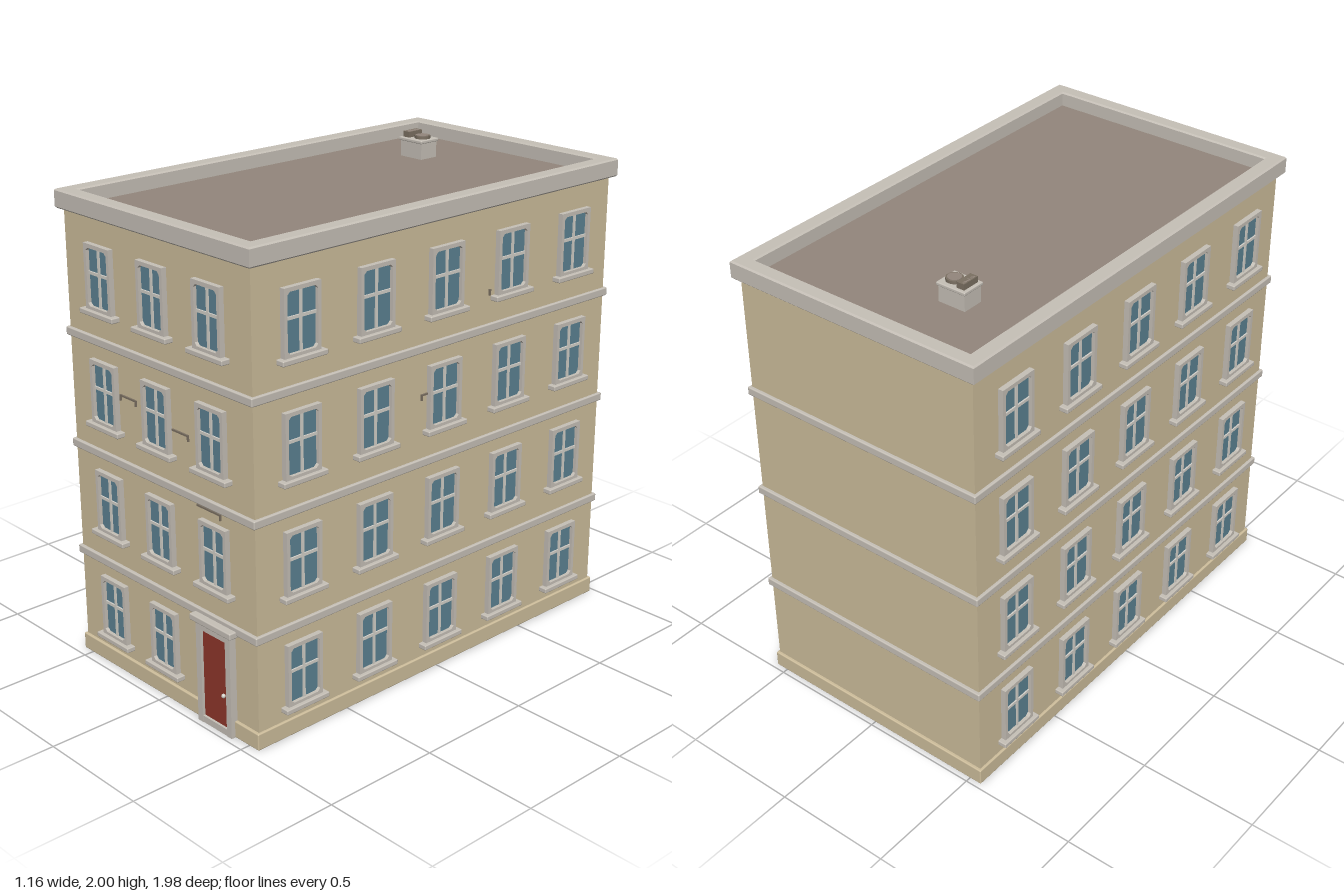
import * as THREE from 'three';
import { RoundedBoxGeometry } from 'three/addons/geometries/RoundedBoxGeometry.js';

const ZC = -0.01;              // centre of the building block in z
const FRONT = 0.947;           // front wall plane
const SIDE = 0.545;            // side wall plane
const FLOOR = 0.4625;          // storey pitch

function material(name, color) {
  const m = new THREE.MeshStandardMaterial({ color });
  m.name = name;
  return m;
}

export function createModel() {
  const plaster = material('plaster', 0xcdbd9b);
  const trim = material('stone trim', 0xc6c0b7);
  const roofing = material('roofing', 0x93867c);
  const glass = material('window glass', 0x5c8292);
  const paint = material('door paint', 0x8f372b);
  const metal = material('dark metal', 0x7b7062);
  const bars = material('window bars', 0xd3d0c9);

  const model = new THREE.Group();
  model.name = 'apartmentBuilding';

  function add(parent, name, geometry, mat, x = 0, y = 0, z = 0) {
    const mesh = new THREE.Mesh(geometry, mat);
    mesh.name = name;
    mesh.position.set(x, y, z);
    parent.add(mesh);
    return mesh;
  }
  const box = (w, h, d) => new THREE.BoxGeometry(w, h, d);
  const soft = (w, h, d, r = 0.005) => new RoundedBoxGeometry(w, h, d, 2, r);

  function rectangle(w, h, Type = THREE.Shape) {
    const p = new Type();
    p.moveTo(-w / 2, -h / 2);
    p.lineTo(w / 2, -h / 2);
    p.lineTo(w / 2, h / 2);
    p.lineTo(-w / 2, h / 2);
    p.closePath();
    return p;
  }

  // Main block, plinth and floor bands
  add(model, 'walls', box(SIDE * 2, 1.88, 1.914), plaster, 0, 0.94, ZC);
  add(model, 'plinth', soft(1.11, 0.07, 1.938), plaster, 0, 0.035, ZC);
  for (let i = 1; i <= 3; i++) {
    const y = 0.457 + (i - 1) * 0.4675;
    add(model, 'floorBand', soft(1.114, 0.034, 1.942), trim, 0, y, ZC);
  }

  // Parapet ring with softened edges around a sunken roof
  const ring = rectangle(1.128, 1.95);
  ring.holes.push(rectangle(1.022, 1.848, THREE.Path));
  const ringGeo = new THREE.ExtrudeGeometry(ring, {
    depth: 0.063, bevelEnabled: true, bevelThickness: 0.006, bevelSize: 0.006, bevelSegments: 1,
  });
  ringGeo.rotateX(-Math.PI / 2);
  add(model, 'parapet', ringGeo, trim, 0, 1.886, ZC);
  add(model, 'roof', box(1.03, 0.02, 1.856), roofing, 0, 1.885, ZC);

  // Rooftop ventilation unit
  const vent = new THREE.Group();
  vent.name = 'roofVent';
  vent.position.set(-0.2, 1.89, -0.62);
  model.add(vent);
  add(vent, 'ventBody', box(0.12, 0.085, 0.09), trim, 0, 0.0425, 0);
  add(vent, 'ventLid', soft(0.132, 0.014, 0.104, 0.004), trim, 0, 0.079, 0);
  add(vent, 'ventFan', new THREE.CylinderGeometry(0.033, 0.033, 0.012, 24), metal, 0.022, 0.092, 0);
  add(vent, 'ventFanCap', new THREE.CylinderGeometry(0.027, 0.027, 0.006, 24), roofing, 0.022, 0.097, 0);
  add(vent, 'ventHood', box(0.034, 0.024, 0.076), metal, -0.036, 0.098, 0);
  add(vent, 'ventHoodTop', box(0.024, 0.004, 0.064), roofing, -0.036, 0.108, 0);

  // Window kit: local z points out of the wall, y = 0 at the sill's underside
  function windowKit(w, sillWidth) {
    const h = 0.262;
    const gw = (w - 0.03) / 2, gh = 0.115, c = 0.012;
    const frame = rectangle(w, h);
    const hole = new THREE.Path();
    hole.setFromPoints([
      [-gw + c, -gh], [gw - c, -gh], [gw, -gh + c], [gw, gh - c],
      [gw - c, gh], [-gw + c, gh], [-gw, gh - c], [-gw, -gh + c],
    ].map(([x, y]) => new THREE.Vector2(x, y)));
    hole.closePath();
    frame.holes.push(hole);
    return {
      frame: new THREE.ExtrudeGeometry(frame, { depth: 0.022, bevelEnabled: false }),
      glass: box(w - 0.01, h - 0.01, 0.008),
      post: box(0.011, gh * 2, 0.008),
      rail: box(gw * 2, 0.012, 0.008),
      sill: soft(sillWidth, 0.021, 0.04, 0.004),
    };
  }
  function addWindow(kit, x, y, z, turn) {
    const g = new THREE.Group();
    g.name = 'window';
    g.position.set(x, y, z);
    g.rotation.y = turn;
    model.add(g);
    add(g, 'windowFrame', kit.frame, trim, 0, 0.148, 0);
    add(g, 'windowGlass', kit.glass, glass, 0, 0.148, 0.003);
    add(g, 'windowPost', kit.post, bars, 0, 0.148, 0.009);
    add(g, 'windowRail', kit.rail, bars, 0, 0.163, 0.009);
    add(g, 'windowSill', kit.sill, trim, 0, 0.0105, 0.017);
  }

  const frontKit = windowKit(0.157, 0.207);
  const sideKit = windowKit(0.174, 0.215);
  for (let floor = 0; floor < 4; floor++) {
    const y = 0.112 + floor * FLOOR;
    for (let i = -1; i <= 1; i++) {
      if (floor === 0 && i === 1) continue;   // the door stands here
      addWindow(frontKit, i * 0.322, y, FRONT, 0);
    }
    for (let i = -2; i <= 2; i++) {
      for (const s of [1, -1]) {
        addWindow(sideKit, s * SIDE, y, ZC + i * 0.369, s * Math.PI / 2);
      }
    }
  }

  // Front door with surround, canopy and knob
  const door = new THREE.Group();
  door.name = 'door';
  door.position.set(0.32, 0, FRONT);
  model.add(door);
  for (const s of [1, -1]) {
    add(door, 'doorJamb', box(0.028, 0.43, 0.03), trim, s * 0.086, 0.215, 0.015);
  }
  add(door, 'doorHead', box(0.2, 0.03, 0.03), trim, 0, 0.415, 0.015);
  add(door, 'doorStep', box(0.2, 0.028, 0.028), trim, 0, 0.014, 0.014);
  add(door, 'doorLeaf', box(0.146, 0.375, 0.018), paint, 0, 0.215, 0.009);
  add(door, 'doorCanopy', soft(0.24, 0.027, 0.045), trim, 0, 0.4435, 0.0215);
  add(door, 'doorKnob', new THREE.SphereGeometry(0.009, 12, 8), bars, 0.05, 0.163, 0.024);

  // Slim conduits: a horizontal run with short drops at chosen ends
  function conduit(x, y, z, turn, length, drops) {
    const g = new THREE.Group();
    g.name = 'conduit';
    g.position.set(x, y, z);
    g.rotation.y = turn;
    model.add(g);
    add(g, 'conduitRun', box(length, 0.007, 0.008), metal);
    for (const s of drops) {
      add(g, 'conduitDrop', box(0.006, 0.022, 0.008), metal, s * (length / 2 - 0.003), -0.011, 0);
    }
  }
  conduit(-0.183, 1.208, FRONT + 0.003, 0, 0.1, [-1, 1]);
  conduit(0.133, 1.158, FRONT + 0.003, 0, 0.096, [1]);
  conduit(0.288, 0.898, FRONT + 0.003, 0, 0.136, [1]);
  conduit(SIDE + 0.003, 1.203, 0.09, Math.PI / 2, 0.04, [-1]);
  conduit(SIDE + 0.003, 1.545, -0.262, Math.PI / 2, 0.008, [-1]);

  return model;
}
